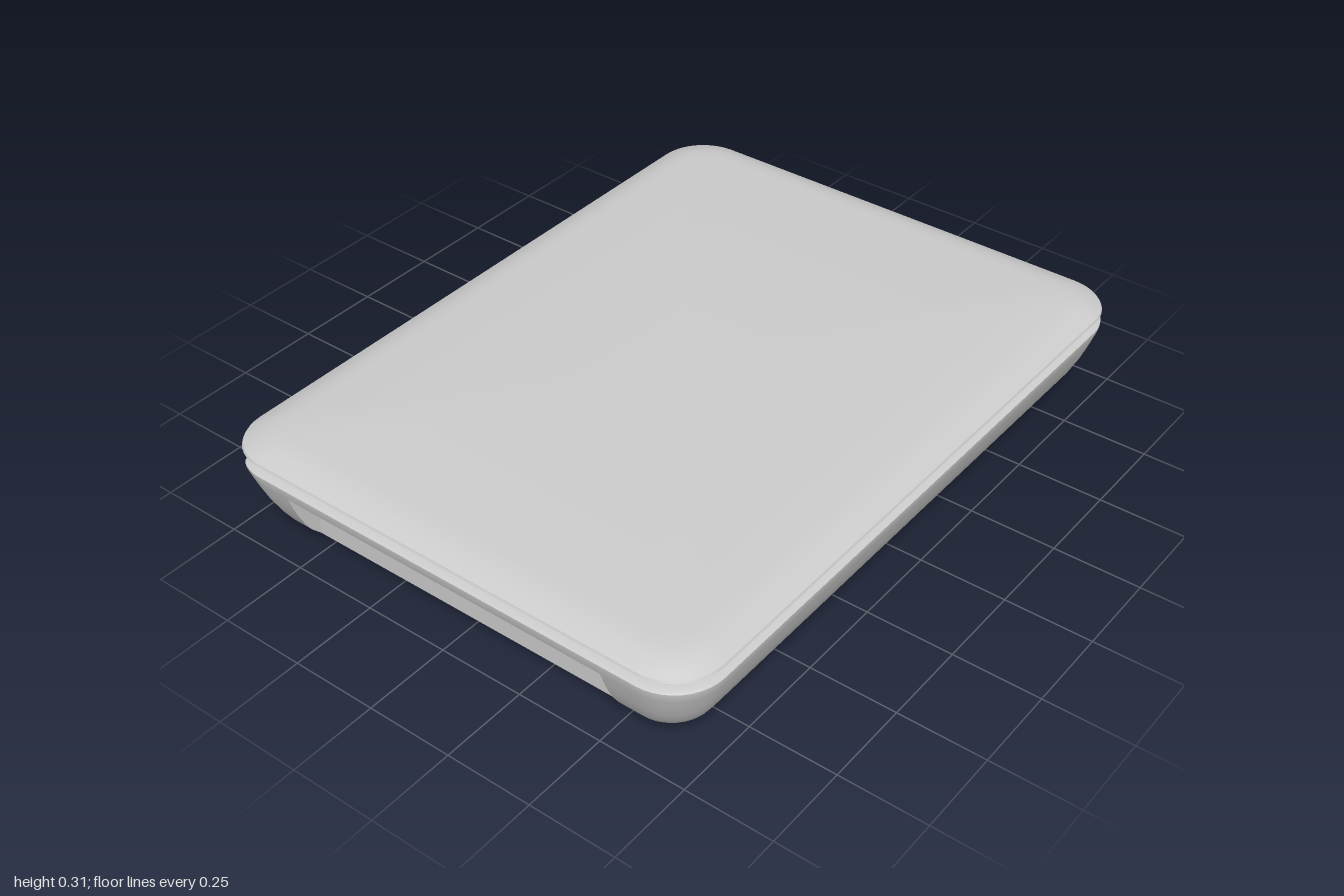
import * as THREE from 'three';
import { toCreasedNormals } from 'three/addons/utils/BufferGeometryUtils.js';

const HALF_X = 0.755, HALF_Z = 1, CUT_X = -0.69;
const BAY = { x0: -0.52, x1: 0.5, y0: 0.04, y1: 0.21, z: 0.9 };

// One horizontal rounded-rectangle section. Row: { y, inset, left, bay }
function section({ y, inset, left, bay }) {
  const r = Math.max(0.05, 0.145 - inset * 0.5);
  const xMax = HALF_X - inset, zMax = HALF_Z - inset;
  const xMin = left === undefined ? -xMax : Math.min(-xMax, left);
  const loop = [];
  const add = (x, z, inBay = false) =>
    loop.push({ p: [left === undefined ? x : Math.max(x, left), y, z], inBay });
  const corner = (cx, cz, start) => {
    for (let k = 0; k <= 10; k++) {
      const a = start + (k / 10) * Math.PI / 2;
      add(cx + r * Math.cos(a), cz + r * Math.sin(a));
    }
  };
  // Straight end, split so the middle can sink into a flat bay
  const end = (s) => {
    const xs = s > 0 ? [BAY.x1, BAY.x0] : [BAY.x0, BAY.x1];
    const z = s * (bay ? BAY.z : zMax);
    add(xs[0], s * zMax);
    add(xs[0], z, true);
    add(xs[1], z, true);
    add(xs[1], s * zMax);
  };
  corner(xMax - r, zMax - r, 0);
  end(1);
  corner(xMin + r, zMax - r, Math.PI / 2);
  corner(xMin + r, -zMax + r, Math.PI);
  end(-1);
  corner(xMax - r, -zMax + r, Math.PI * 1.5);
  return loop;
}

// Skin between sections from bottom to top, closed with flat caps
function loft(rows, crease) {
  const loops = rows.map(section), n = loops[0].length, pos = [];
  const tri = (a, b, c) => {
    const [A, B, C] = [a, b, c].map((q) => new THREE.Vector3(...q));
    if (B.sub(A).cross(C.sub(A)).length() > 1e-9) pos.push(...a, ...b, ...c);
  };
  for (let j = 0; j < n; j++) {
    const k = (j + 1) % n;
    for (let i = 0; i < rows.length - 1; i++) {
      const a = loops[i][j], b = loops[i][k], c = loops[i + 1][k], d = loops[i + 1][j];
      // The front bay's back wall is left open for the port panel
      if (rows[i + 1].bay && a.inBay && b.inBay && a.p[2] > 0) continue;
      tri(a.p, d.p, b.p);
      tri(b.p, d.p, c.p);
    }
    const last = rows.length - 1;
    tri([0, rows[0].y, 0], loops[0][j].p, loops[0][k].p);
    tri([0, rows[last].y, 0], loops[last][k].p, loops[last][j].p);
  }
  const g = new THREE.BufferGeometry();
  g.setAttribute('position', new THREE.Float32BufferAttribute(pos, 3));
  return toCreasedNormals(g, crease);
}

function rectPath(Type, x0, y0, x1, y1) {
  const s = new Type();
  s.moveTo(x0, y0);
  s.lineTo(x1, y0);
  s.lineTo(x1, y1);
  s.lineTo(x0, y1);
  s.closePath();
  return s;
}

export function createModel() {
  const group = new THREE.Group();
  const mat = new THREE.MeshStandardMaterial({ color: 0xcccccc });
  const part = (name, geo, x = 0, y = 0, z = 0) => {
    const m = new THREE.Mesh(geo, mat);
    m.name = name;
    m.position.set(x, y, z);
    group.add(m);
    return m;
  };

  // Tub: y, inset, left limit, sunken bay
  const tub = [
    [0, 0.2, -0.62], [0.004, 0.17, -0.64], [0.012, 0.143, -0.665], [0.025, 0.12, -0.682],
    [0.04, 0.1], [0.07, 0.072, CUT_X, true], [0.1, 0.053, CUT_X, true],
    [0.14, 0.034, CUT_X, true], [0.18, 0.019, CUT_X, true], [0.21, 0.009, CUT_X, true],
    [0.21, 0.009], [0.235, 0.001], [0.245, 0], [0.25, 0.008], [0.25, 0.04], [0.268, 0.04],
  ].map(([y, inset, left = CUT_X, bay = false]) => ({ y, inset, left, bay }));
  part('body', loft(tub, 0.6));

  // Lid with bevelled underside and soft upper edge
  const lid = [
    [0.266, 0.02], [0.28, 0], [0.286, 0.003], [0.296, 0.022],
    [0.305, 0.045], [0.311, 0.066], [0.315, 0.1],
  ].map(([y, inset]) => ({ y, inset }));
  part('lid', loft(lid, 0.6));

  // Port panel in the front bay, with two pockets
  const depth = 0.04;
  const panel = rectPath(THREE.Shape, BAY.x0, BAY.y0, BAY.x1, BAY.y1);
  for (const x of [0.02, 0.28]) panel.holes.push(rectPath(THREE.Path, x, 0.095, x + 0.125, 0.155));
  part('portPanel', new THREE.ExtrudeGeometry(panel, { depth, bevelEnabled: false }), 0, 0, BAY.z - depth);
  for (const x of [0.02, 0.28]) {
    part('portBack', new THREE.PlaneGeometry(0.125, 0.06), x + 0.0625, 0.125, BAY.z - depth + 0.001);
  }

  // Pegs along the flat side
  for (const z of [-0.87, 0.01, 0.87]) {
    part('sidePeg', new THREE.CylinderGeometry(0.027, 0.027, 0.095, 20), -0.7075, 0.155, z).rotation.z = Math.PI / 2;
  }
  return group;
}
